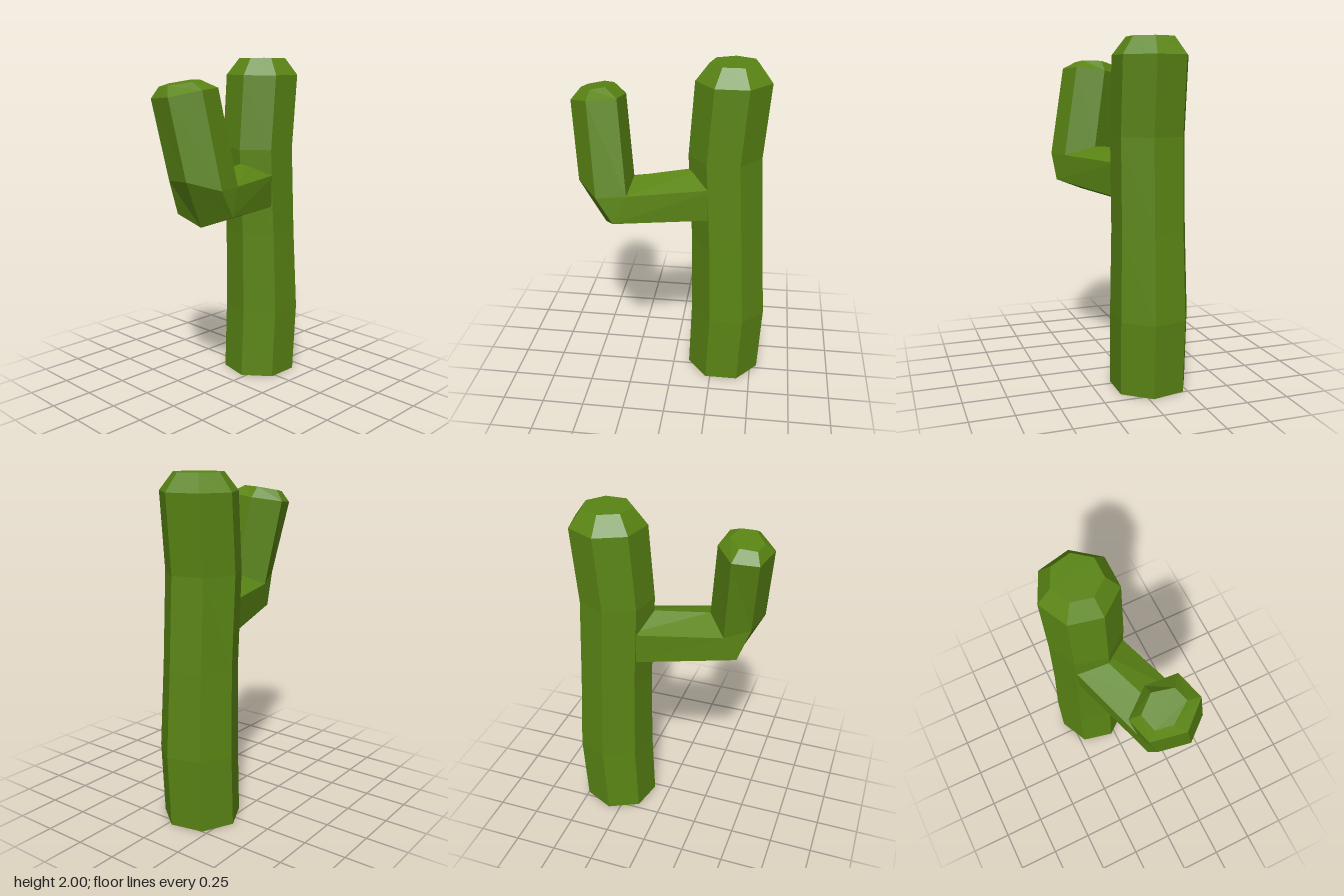
import * as THREE from 'three';

// Skin a stack of rings (listed top to bottom) and close both ends.
function loft(rings) {
  const pos = [];
  const tri = (a, b, c) => {
    const same = (p, q) => p.every((v, i) => Math.abs(v - q[i]) < 1e-6);
    if (same(a, b) || same(b, c) || same(a, c)) return;
    pos.push(...a, ...b, ...c);
  };
  const n = rings[0].length;
  for (let r = 0; r < rings.length - 1; r++) {
    for (let k = 0; k < n; k++) {
      const j = (k + 1) % n;
      const up = rings[r], low = rings[r + 1];
      tri(up[k], up[j], low[k]);
      tri(up[j], low[j], low[k]);
    }
  }
  const top = rings[0], bottom = rings[rings.length - 1];
  for (let k = 1; k < n - 1; k++) {
    tri(top[0], top[k + 1], top[k]);
    tri(bottom[0], bottom[k], bottom[k + 1]);
  }
  const geo = new THREE.BufferGeometry();
  geo.setAttribute('position', new THREE.Float32BufferAttribute(pos, 3));
  geo.computeVertexNormals();
  return geo;
}

// Regular seven-sided ring with a corner at the back.
function trunkRing([y, x, z, radius]) {
  return Array.from({ length: 7 }, (_, k) => {
    const t = (k / 7) * Math.PI * 2;
    return [x + radius * Math.sin(t), y, z - radius * Math.cos(t)];
  });
}

export function createModel() {
  const group = new THREE.Group();
  group.name = 'cactus';
  const green = new THREE.MeshStandardMaterial({ color: 0x5a8514, flatShading: true });
  const add = (name, rings) => {
    const mesh = new THREE.Mesh(loft(rings), green);
    mesh.name = name;
    group.add(mesh);
  };

  // Gently swaying trunk with a bevelled top: y, centre x, centre z, radius
  add('trunk', [
    [2.0, 0.33, -0.078, 0.142],
    [1.9, 0.33, -0.078, 0.221],
    [1.46, 0.295, -0.078, 0.219],
    [0.93, 0.322, -0.076, 0.219],
    [0.43, 0.34, -0.075, 0.232],
    [0, 0.321, -0.077, 0.228],
  ].map(trunkRing));

  // Six-sided arm: corners run left-back, back, right, right-front, front, left
  const back = [-0.34, 1.29, -0.06];
  const ridge = [-0.22, 1.36, 0.08];
  const front = [-0.235, 1.31, 0.27];
  add('arm', [
    // bevelled tip
    [[-0.505, 1.85, -0.065], [-0.41, 1.865, -0.09], [-0.335, 1.885, 0],
      [-0.365, 1.888, 0.115], [-0.445, 1.878, 0.14], [-0.522, 1.858, 0.03]],
    [[-0.53, 1.785, -0.105], [-0.385, 1.8, -0.145], [-0.27, 1.825, 0],
      [-0.29, 1.845, 0.175], [-0.45, 1.838, 0.22], [-0.57, 1.8, 0.085]],
    // start of the elbow
    [[-0.487, 1.34, -0.015], back, ridge, front, [-0.4, 1.31, 0.315], [-0.525, 1.355, 0.17]],
    // end of the elbow, sharing the three inner corners
    [[-0.415, 1.14, -0.03], back, ridge, front, [-0.31, 1.152, 0.305], [-0.385, 1.08, 0.13]],
    // root inside the trunk
    [[0.2, 1.11, -0.22], [0.2, 1.3, -0.23], [0.2, 1.38, -0.07],
      [0.25, 1.305, 0.105], [0.25, 1.11, 0.1], [0.2, 1.045, -0.07]],
  ]);

  return group;
}
